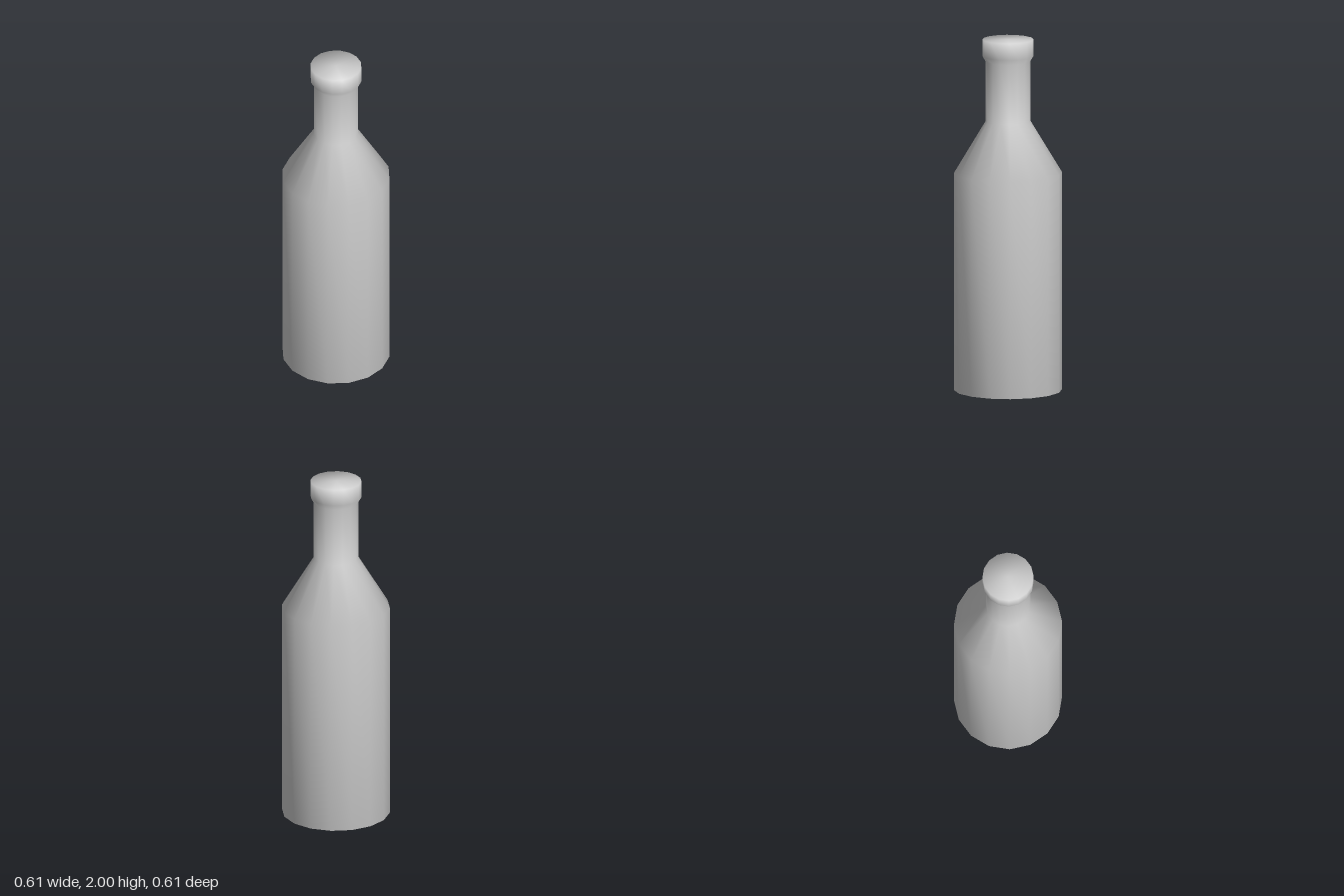
import * as THREE from 'three';
import { mergeVertices } from 'three/addons/utils/BufferGeometryUtils.js';

// Closed bottle outline as [radius, height], bottom to top
const PROFILE = [
  [0, 0],
  [0.304, 0],        // base rim
  [0.304, 1.24],     // body top
  [0.126, 1.535],    // shoulder meets neck
  [0.126, 1.875],    // neck top
  [0.144, 1.905],    // lip
  [0.144, 2],
  [0, 2],
];
const SIDES = 16;

export function createModel() {
  const group = new THREE.Group();
  group.name = 'bottle';

  const lathe = new THREE.LatheGeometry(
    PROFILE.map(([r, y]) => new THREE.Vector2(r, y)), SIDES);

  // Weld seam and rims so the shading runs smoothly over the whole surface
  lathe.deleteAttribute('uv');
  lathe.deleteAttribute('normal');
  const geometry = mergeVertices(lathe, 1e-4);
  geometry.computeVertexNormals();

  const body = new THREE.Mesh(
    geometry, new THREE.MeshStandardMaterial({ color: 0xcccccc }));
  body.name = 'bottleBody';
  group.add(body);
  return group;
}
